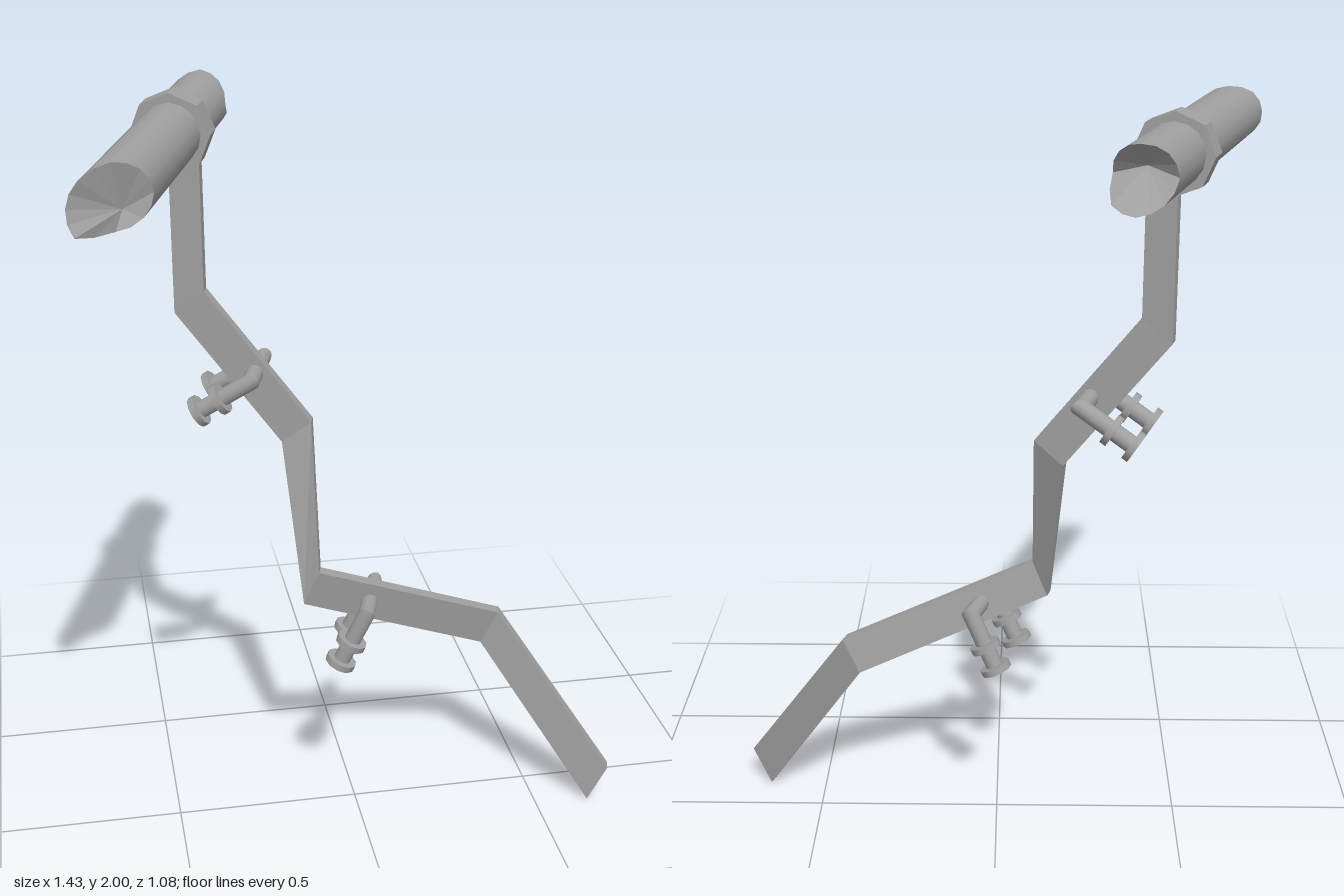
import * as THREE from 'three';

const metal = new THREE.MeshStandardMaterial({ color: 0xa0a0a0 });
metal.name = 'grey';
const YAW = -0.299; // shared turn of the log, ring and brackets

function mesh(name, geo, parent) {
  const m = new THREE.Mesh(geo, metal);
  m.name = name;
  parent.add(m);
  return m;
}

function indexed(points, faces, flat) {
  let g = new THREE.BufferGeometry();
  g.setAttribute('position', new THREE.Float32BufferAttribute(points.flat(), 3));
  g.setIndex(faces);
  if (flat) g = g.toNonIndexed();
  g.computeVertexNormals();
  return g;
}

// Crooked bar: at each bend the upper and lower front corners, thickened backwards
function poleGeometry() {
  const bends = [
    [[-0.37, 1.83, -0.125], [-0.445, 1.82, -0.15]],
    [[-0.37, 1.49, -0.125], [-0.445, 1.43, -0.15]],
    [[-0.107, 1.14, -0.05], [-0.182, 1.08, -0.075]],
    [[-0.107, 0.75, 0.058], [-0.147, 0.655, 0.046]],
    [[0.41, 0.545, -0.01], [0.365, 0.45, -0.022]],
    [[0.70, 0.105, 0.158], [0.65, 0, 0.145]],
  ];
  const back = ([x, y, z]) => [x + 0.01, y, z - 0.034];
  const pts = bends.flatMap(([u, l]) => [u, back(u), back(l), l]);
  const faces = [0, 1, 2, 0, 2, 3];
  for (let i = 0; i < bends.length - 1; i++) {
    for (let k = 0; k < 4; k++) {
      const a = i * 4 + k, b = i * 4 + (k + 1) % 4;
      faces.push(a, a + 4, b, b, a + 4, b + 4);
    }
  }
  const e = (bends.length - 1) * 4;
  faces.push(e, e + 2, e + 1, e, e + 3, e + 2);
  return indexed(pts, faces, true);
}

// Round beam with jagged ends: end positions are given every 45 degrees
function addBeam(parent) {
  const N = 16, R = 0.078;
  const frontEnd = [0.56, 0.58, 0.617, 0.69, 0.72, 0.745, 0.61, 0.575];
  const backEnd = [-0.305, -0.345, -0.372, -0.34, -0.321, -0.36, -0.40, -0.40];
  const at = (keys, i) => {
    const t = i * 8 / N, k = Math.floor(t);
    return THREE.MathUtils.lerp(keys[k % 8], keys[(k + 1) % 8], t - k);
  };
  const rim = (keys) => Array.from({ length: N }, (_, i) => {
    const a = i / N * Math.PI * 2;
    return [R * Math.cos(a), R * Math.sin(a), at(keys, i)];
  });
  const f = rim(frontEnd), b = rim(backEnd);
  const side = [], frontCap = [], backCap = [];
  for (let i = 0; i < N; i++) {
    const j = (i + 1) % N;
    side.push(i, N + i, j, j, N + i, N + j);
    frontCap.push(N, i, j);
    backCap.push(N, j, i);
  }
  mesh('beamSide', indexed([...f, ...b], side, false), parent);
  mesh('beamFrontEnd', indexed([...f, [0.01, -0.035, 0.58]], frontCap, true), parent);
  mesh('beamBackEnd', indexed([...b, [0, 0.02, -0.30]], backCap, true), parent);
}

// U-shaped pipe with mitred corners and a spool on each leg
function addBracket(name, parent, pos, tilt) {
  const g = new THREE.Group();
  g.name = name;
  g.position.set(...pos);
  g.rotation.set(0, YAW, tilt);
  parent.add(g);
  const L = 0.185, r = 0.023;

  const bar = new THREE.CylinderGeometry(r, r, L, 12, 1, true).rotateX(Math.PI / 2);
  const p = bar.attributes.position;
  for (let i = 0; i < p.count; i++) {
    p.setZ(i, Math.sign(p.getZ(i)) * (L / 2 + p.getX(i)));
  }
  mesh('crossPipe', bar, g);

  for (const s of [-1, 1]) {
    const leg = new THREE.CylinderGeometry(r, r, 0.16, 12, 1, true)
      .rotateZ(Math.PI / 2).translate(-0.08, 0, 0);
    const q = leg.attributes.position;
    for (let i = 0; i < q.count; i++) {
      if (q.getX(i) > -0.01) q.setX(i, s * q.getZ(i));
    }
    mesh('legPipe', leg, g).position.z = s * L / 2;
    for (const x of [-0.095, -0.162]) {
      const disc = new THREE.CylinderGeometry(0.042, 0.042, 0.018, 10).rotateZ(Math.PI / 2);
      mesh('spoolDisc', disc, g).position.set(x, 0, s * L / 2);
    }
  }
}

export function createModel() {
  const model = new THREE.Group();
  model.name = 'crookedPole';
  mesh('pole', poleGeometry(), model);

  // Beam held in an eight-sided collar at the top of the pole
  const top = new THREE.Group();
  top.name = 'beam';
  top.position.set(-0.43, 1.897, -0.16);
  top.rotation.set(0.018, YAW, 0, 'YXZ');
  model.add(top);
  addBeam(top);
  const collar = new THREE.CylinderGeometry(0.102, 0.102, 0.07, 8).rotateX(Math.PI / 2).toNonIndexed();
  collar.computeVertexNormals();
  mesh('collar', collar, top);

  addBracket('upperBracket', model, [-0.24, 1.272, -0.117], 0.56);
  addBracket('lowerBracket', model, [0.04, 0.637, 0.013], 1.13);
  return model;
}
